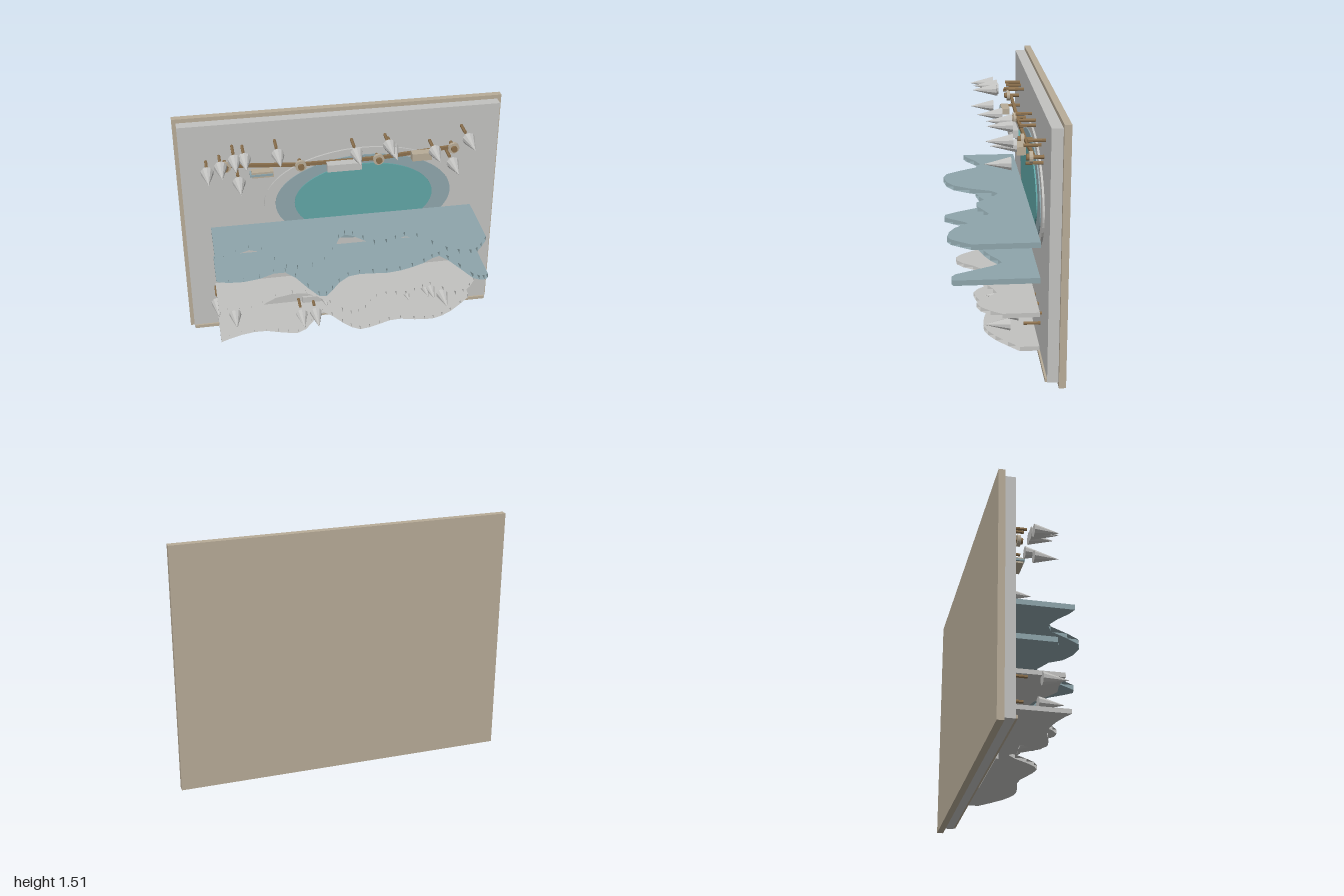
import * as THREE from 'three';

const mat = (name, color) => {
  const m = new THREE.MeshStandardMaterial({ color, flatShading: true, side: THREE.DoubleSide });
  m.name = name;
  return m;
};

export function createModel() {
  const root = new THREE.Group();
  root.name = 'reliefBoard';
  const gray = mat('stoneGray', 0xc2c2c0);
  const tan = mat('frameTan', 0xb8ac98);
  const blue = mat('mistBlue', 0x8ea5ab);
  const teal = mat('waterTeal', 0x60a5a5);
  const brown = mat('woodBrown', 0x8a6f4c);

  const add = (name, geo, m, x = 0, y = 0, z = 0) => {
    const mesh = new THREE.Mesh(geo, m);
    mesh.name = name;
    mesh.position.set(x, y, z);
    root.add(mesh);
    return mesh;
  };
  // box given by its limits
  const box = (name, m, x0, x1, y0, y1, z0, z1) =>
    add(name, new THREE.BoxGeometry(x1 - x0, y1 - y0, z1 - z0), m, (x0 + x1) / 2, (y0 + y1) / 2, (z0 + z1) / 2);
  // cylinder or cone whose axis points out of the board
  const rod = (name, m, x, y, z0, z1, r0, r1, sides) =>
    add(name, new THREE.CylinderGeometry(r1, r0, z1 - z0, sides).rotateX(Math.PI / 2), m, x, y, (z0 + z1) / 2);

  // backing board
  box('backFrame', tan, -1, 1, 0, 1.51, -0.32, -0.28);
  box('panel', gray, -0.975, 0.975, 0.025, 1.485, -0.28, -0.217);
  box('lowerStrip', tan, -0.97, 0.97, 0.027, 0.048, -0.217, -0.205);
  box('plaque', gray, -0.27, 0.26, 0.07, 0.215, -0.18, -0.165);

  // lake made of stacked ellipses
  const ellipse = (name, m, rx, ry, z0, z1) =>
    rod(name, m, 0.135, 0.92, z0, z1, 1, 1, 64).scale.set(rx, ry, 1);
  ellipse('lakeShore', gray, 0.62, 0.343, -0.217, -0.205);
  ellipse('lakeShallows', blue, 0.55, 0.297, -0.206, -0.198);
  ellipse('lakeWater', teal, 0.432, 0.24, -0.199, -0.19);

  // wavy shelves: open along the front edge, with upright ribs inside
  const shelf = (name, m, y0, y1, pts) => {
    const edge = new THREE.SplineCurve(pts.map(p => new THREE.Vector2(...p))).getPoints(26);
    const shape = new THREE.Shape([new THREE.Vector2(-0.82, -0.19), ...edge, new THREE.Vector2(0.82, -0.19)]);
    const face = new THREE.ShapeGeometry(shape).rotateX(Math.PI / 2);
    add(name + 'Top', face, m, 0, y1, 0);
    add(name + 'Bottom', face, m, 0, y0, 0);
    for (const p of edge) {
      const rib = new THREE.PlaneGeometry(p.y + 0.19, y1 - y0).rotateY(Math.PI / 2);
      add(name + 'Rib', rib, m, p.x, (y0 + y1) / 2, (p.y - 0.19) / 2);
    }
  };
  shelf('highShelf', blue, 0.768, 0.8, [[-0.82, 0.15], [-0.74, 0.12], [-0.63, 0.05], [-0.53, 0.09],
    [-0.44, 0.25], [-0.36, 0.3], [-0.24, 0.28], [-0.14, 0.2], [-0.06, 0.02], [0, -0.02], [0.07, 0.04], [0.15, 0.12],
    [0.25, 0.11], [0.33, 0.06], [0.43, 0.1], [0.53, 0.24], [0.62, 0.3], [0.71, 0.315], [0.76, 0.27], [0.82, 0.19]]);
  shelf('upperShelf', blue, 0.558, 0.59, [[-0.82, 0.05], [-0.7, 0.08], [-0.55, 0.06], [-0.42, 0.01], [-0.33, 0.1],
    [-0.24, 0.28], [-0.17, 0.3], [-0.1, 0.2], [0, 0.12], [0.12, 0.12], [0.25, 0.13], [0.38, 0.1], [0.5, 0.05],
    [0.58, 0], [0.65, 0.1], [0.73, 0.27], [0.78, 0.3], [0.82, 0.29]]);
  shelf('middleShelf', gray, 0.353, 0.38, [[-0.82, 0.09], [-0.72, 0.08], [-0.6, 0.09], [-0.47, 0], [-0.3, -0.03],
    [-0.19, 0.03], [-0.08, 0.19], [0, 0.245], [0.08, 0.2], [0.15, 0.11], [0.25, 0.08], [0.35, 0.1], [0.45, 0.06],
    [0.54, 0.03], [0.65, 0.15], [0.74, 0.12], [0.82, 0.02]]);
  shelf('lowShelf', gray, 0.145, 0.172, [[-0.82, 0.12], [-0.7, 0.07], [-0.55, 0.05], [-0.42, 0.09], [-0.31, 0.1],
    [-0.22, 0], [-0.14, -0.08], [-0.04, 0.05], [0.05, 0.135], [0.17, 0.11], [0.3, 0.07], [0.45, 0.1],
    [0.56, 0.1], [0.68, 0.04], [0.82, -0.08]]);

  // trees: short trunk and a cone; third value is the cone's base depth
  const trees = [
    [-0.82, 1.25, -0.08], [-0.74, 1.28, -0.08], [-0.64, 1.19, -0.04], [-0.66, 1.34, -0.04], [-0.6, 1.335, -0.06],
    [-0.405, 1.355, -0.04], [0.06, 1.32, -0.04], [0.265, 1.335, -0.08], [0.285, 1.31, -0.08], [0.545, 1.27, -0.08],
    [0.65, 1.2, -0.04], [0.74, 1.355, -0.04], [-0.82, 0.335, -0.04], [-0.715, 0.235, -0.04], [-0.15, 0.33, -0.04],
    [-0.29, 0.17, -0.05], [-0.2, 0.178, -0.04], [0.38, 0.295, -0.06], [0.51, 0.295, -0.08], [0.54, 0.305, -0.04],
    [0.63, 0.225, -0.04], [0.7, 0.32, -0.08]];
  for (const [x, y, z] of trees) {
    rod('treeTrunk', brown, x, y, -0.217, -0.12, 0.01, 0.01, 6);
    rod('treeCone', gray, x, y, z, z + 0.15, 0.039, 0, 10);
  }
  add('bush', new THREE.SphereGeometry(0.028, 10, 8), gray, 0.62, 0.342, -0.09);

  // raised walkway with round posts
  const posts = [[-0.71, 1.24], [-0.26, 1.208], [0.215, 1.208], [0.68, 1.243]];
  posts.forEach(([x, y], i) => {
    rod('postStem', brown, x, y, -0.217, -0.15, 0.012, 0.012, 10);
    rod('postDisc', tan, x, y, -0.155, -0.135, 0.034, 0.034, 20);
    rod('postCap', brown, x, y, -0.135, -0.12, 0.019, 0.019, 16);
    if (i === 0) return;
    const [px, py] = posts[i - 1];
    const beam = add('walkway', new THREE.BoxGeometry(Math.hypot(x - px, y - py), 0.02, 0.018), brown,
      (x + px) / 2, (y + py) / 2, -0.162);
    beam.rotation.z = Math.atan2(y - py, x - px);
  });

  // cabins along the walkway
  box('leftCabin', tan, -0.56, -0.43, 1.185, 1.222, -0.13, -0.08);
  box('leftCabinBase', blue, -0.57, -0.435, 1.197, 1.21, -0.13, -0.075);
  box('centreCabin', gray, -0.107, 0.1, 1.182, 1.228, -0.135, -0.082);
  box('centreCabinBase', teal, -0.08, 0.075, 1.174, 1.182, -0.16, -0.13);
  box('rightCabin', tan, 0.41, 0.53, 1.208, 1.255, -0.135, -0.082);
  return root;
}
